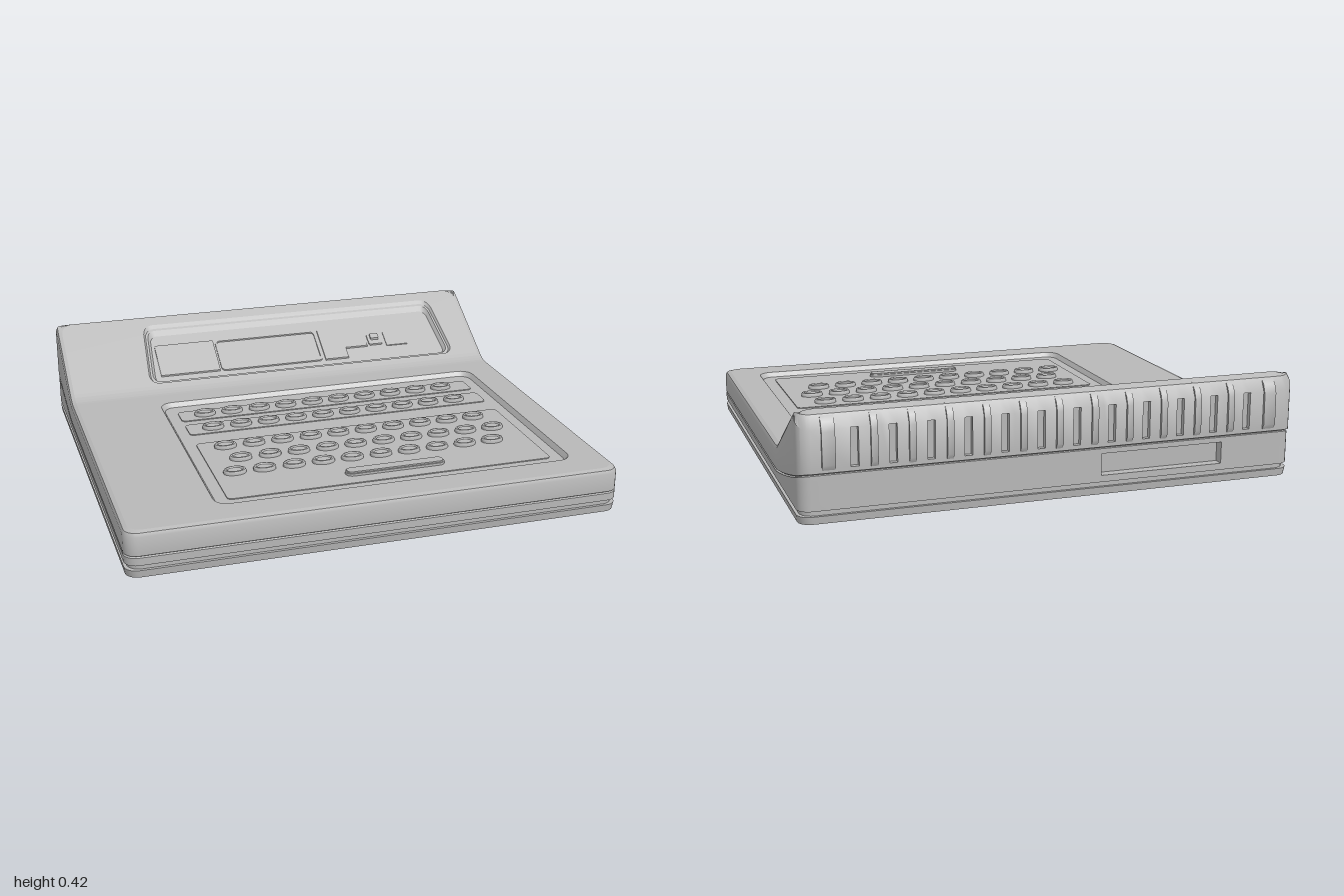
import * as THREE from 'three';
import { toCreasedNormals } from 'three/addons/utils/BufferGeometryUtils.js';

const casing = new THREE.MeshStandardMaterial({ color: 0xb8b8b8, side: THREE.DoubleSide });
casing.name = 'casing grey';

const V = (x, y, z) => new THREE.Vector3(x, y, z);
const clamp = (t) => Math.min(1, Math.max(0, t));
const lerp = THREE.MathUtils.lerp;
const SLOPE = 0.61, PITCH = 0.1435;

// Height of the top face: flat deck, short curve, sloped console
function deck(z) {
  const t = Math.min(-0.42 - z, 0.425);
  if (t <= 0) return 0.185;
  return 0.185 + (t < 0.07 ? (SLOPE * t * t) / 0.14 : SLOPE * (t - 0.035));
}
// Seam between the lower and upper shells, rising towards the back
const seam = (z) => 0.085 + 0.105 * Math.pow(clamp((-0.45 - z) / 0.45), 1.2);
// Drop of the hood edge over the rounded back
const drop = (z) => clamp((-0.84 - z) / 0.06);
const shoulder = (z) => deck(z) - 0.02 - 0.045 * drop(z);

function mesh(name, geo, parent, angle = 0.6) {
  const m = new THREE.Mesh(toCreasedNormals(geo, angle), casing);
  m.name = name;
  parent.add(m);
  return m;
}

// Skin between closed rings of points; skip() leaves openings
function loft(rings, skip = () => false) {
  const pos = [];
  for (let i = 0; i + 1 < rings.length; i++) {
    const n = rings[i].length;
    for (let j = 0; j < n; j++) {
      const k = (j + 1) % n;
      const a = rings[i][j], b = rings[i][k], c = rings[i + 1][k], d = rings[i + 1][j];
      if (skip(i, a, b)) continue;
      for (const p of [a, d, c, a, c, b]) pos.push(p.x, p.y, p.z);
    }
  }
  const g = new THREE.BufferGeometry();
  g.setAttribute('position', new THREE.Float32BufferAttribute(pos, 3));
  g.computeVertexNormals();
  return g;
}
// Collapses a ring to its centre, closing a loft
function closed(ring) {
  const c = V(0, 0, 0);
  ring.forEach((p) => c.add(p));
  c.divideScalar(ring.length);
  return ring.map(() => c);
}

// Rounded rectangle in plan, optionally widening towards the front
function outline(x0, x1, z0, z1, r, inset = 0, taper = 0) {
  const cx = (x0 + x1) / 2, cz = (z0 + z1) / 2, pts = [];
  const hx = (x1 - x0) / 2 - inset, hz = (z1 - z0) / 2 - inset;
  const rr = Math.max(0.002, Math.min(r, hx, hz) - inset * 0.5);
  [[1, 1], [-1, 1], [-1, -1], [1, -1]].forEach(([sx, sz], q) => {
    for (let i = 0; i <= 5; i++) {
      const a = (q + i / 5) * Math.PI / 2;
      const z = sz * (hz - rr) + rr * Math.sin(a);
      const x = sx * (hx - rr) + rr * Math.cos(a);
      pts.push(new THREE.Vector2(cx + x * (1 + taper * z), cz + z));
    }
  });
  return pts;
}
const toShape = (pts) => new THREE.Shape(pts.map((p) => new THREE.Vector2(p.x, -p.y)));

// Lays a flat or extruded shape on the top face, sunk by depth
function lay(geo, depth) {
  const p = geo.attributes.position;
  for (let i = 0; i < p.count; i++) {
    const z = -p.getY(i);
    p.setXYZ(i, p.getX(i), deck(z) - depth + p.getZ(i), z);
  }
  geo.computeVertexNormals();
  return geo;
}
function slab(name, pts, depth, height, parent, hole) {
  const s = toShape(pts);
  if (hole) s.holes.push(toShape(hole));
  return mesh(name, lay(new THREE.ExtrudeGeometry(s, { depth: height, bevelEnabled: false }), depth), parent);
}

// Plan ring of the case at one level
function ring(inset, back, y) {
  const r = 0.05, w = 1 - inset, f = 0.912 - inset, half = [];
  const xs = [0.18, 0.69];
  for (let k = 0; k < 6; k++) xs.push((k + 0.5) * PITCH - 0.015, (k + 0.5) * PITCH + 0.015);
  xs.sort((a, b) => a - b).forEach((x) => half.push([x, -back]));
  const arc = (cz, from) => {
    for (let i = 0; i <= 6; i++) {
      const a = from + (i / 6) * Math.PI / 2;
      half.push([w - r + r * Math.cos(a), cz + r * Math.sin(a)]);
    }
  };
  arc(r - back, -Math.PI / 2);
  for (const z of [-0.78, -0.7, -0.6, -0.55, -0.49, -0.4725, -0.455, -0.4375, -0.42, 0, 0.5]) half.push([w, z]);
  arc(f - r, 0);
  const mirrored = half.slice().reverse().map(([x, z]) => [-x, z]);
  return half.concat(mirrored).map(([x, z]) => V(x, y(z), z));
}

// Sunken pocket in the back wall
function pocket(name, x0, x1, y0, y1, z, depth, parent) {
  const r = (d) => [V(x0, y0, z + d), V(x1, y0, z + d), V(x1, y1, z + d), V(x0, y1, z + d)];
  mesh(name, loft([r(0), r(depth), closed(r(depth))]), parent);
}

export function createModel() {
  const model = new THREE.Group();
  model.name = 'keyboardConsole';

  // Case walls with base groove, shell seam and rounded top edge
  const LB = 0.893, UB = 0.903;
  const lower = (t) => (z) => lerp(0.05, seam(z) - 0.004, t);
  const hoodFoot = (z) => lerp(seam(z) + 0.004, shoulder(z), 0.1);
  const top = ring(0.022, 0.843, deck);
  const base = ring(0.004, LB - 0.004, () => 0);
  const rings = [
    closed(base), base,
    ring(0, LB, () => 0.03), ring(0.012, LB - 0.012, () => 0.03),
    ring(0.012, LB - 0.012, () => 0.05), ring(0, LB, () => 0.05),
    ring(0, LB, lower(0.2)), ring(0, LB, lower(0.85)), ring(0, LB, lower(1)),
    ring(0.006, LB - 0.006, seam), ring(0, UB, (z) => seam(z) + 0.004),
    ring(0, UB, hoodFoot), ring(0, UB, shoulder),
    ring(0.006, 0.878, (z) => deck(z) - 0.006 - 0.012 * drop(z)), top,
  ];
  const slotAt = (x) => Math.abs(Math.abs(x) / PITCH % 1 - 0.5) < 0.09 && Math.abs(x) < 0.82;
  mesh('caseWalls', loft(rings, (i, a, b) => {
    if (a.z > -0.88 || Math.abs(a.z - b.z) > 1e-4) return false;
    const x = (a.x + b.x) / 2;
    return (i === 6 && x > -0.69 && x < -0.18) || (i === 11 && slotAt(x));
  }), model);

  // Top face in bands, with openings for the key well and the display well
  const keyWell = (i) => outline(-0.625, 0.86, -0.32, 0.77, 0.055, i);
  const displayWell = (i) => outline(-0.615, 0.845, -0.8, -0.503, 0.045, i, 0.13);
  const cuts = [0.95, -0.42, -0.4375, -0.455, -0.4725, -0.49, -0.95];
  for (let i = 0; i < 6; i++) {
    const pts = top.filter((p) => p.z <= cuts[i] + 1e-5 && p.z >= cuts[i + 1] - 1e-5);
    const s = toShape(pts.map((p) => new THREE.Vector2(p.x, p.z)));
    if (i === 0) s.holes.push(toShape(keyWell(0)));
    if (i === 5) s.holes.push(toShape(displayWell(0)));
    mesh('topFace', lay(new THREE.ShapeGeometry(s), 0), model);
  }

  // Stepped wells: pairs of inset and depth
  const well = (name, plan, steps) => {
    const rs = steps.map(([i, d]) => plan(i).map((p) => V(p.x, deck(p.y) - d, p.y)));
    mesh(name, loft([...rs, closed(rs[rs.length - 1])]), model, 0.4);
  };
  well('keyWell', keyWell, [[0, 0], [0.006, 0.008], [0.014, 0.02]]);
  well('displayWell', displayWell, [[0, 0], [0.008, 0.012], [0.018, 0.012], [0.03, 0.03]]);

  // Key beds
  for (const [z0, z1] of [[-0.235, -0.125], [-0.08, 0.035], [0.135, 0.7]])
    slab('keyBed', outline(-0.562, 0.797, z0, z1, 0.02), 0.021, 0.005, model);

  // Oval dished keys in five staggered rows
  const profile = [[1, 0], [1, 0.012], [0.92, 0.018], [0.76, 0.019], [0.64, 0.014], [0, 0.012]];
  const keyGeo = new THREE.LatheGeometry(profile.map(([x, y]) => new THREE.Vector2(x, y)), 28);
  keyGeo.scale(0.047, 1, 0.032);
  for (const [z, x0] of [[-0.18, -0.45], [-0.02, -0.45], [0.2, -0.45], [0.335, -0.418], [0.465, -0.476]])
    for (let i = 0; i < 10; i++)
      mesh('key', keyGeo, model, 0.5).position.set(x0 + i * 0.1237, 0.167, z);
  slab('spaceBar', outline(-0.06, 0.362, 0.582, 0.64, 0.029), 0.018, 0.012, model);
  slab('spaceBarTop', outline(-0.06, 0.362, 0.582, 0.64, 0.029, 0.007), 0.018, 0.018, model);

  // Display panel details
  slab('labelPlate', outline(-0.565, -0.285, -0.715, -0.562, 0.004), 0.031, 0.008, model);
  slab('screenFrame', outline(-0.277, 0.217, -0.717, -0.56, 0.018), 0.031, 0.007, model,
    outline(-0.277, 0.217, -0.717, -0.56, 0.018, 0.008));
  const switchPlan = [[0.23, -0.56], [0.345, -0.56], [0.345, -0.61], [0.455, -0.61],
    [0.455, -0.683], [0.345, -0.683], [0.345, -0.718], [0.23, -0.718]];
  slab('switchPlate', switchPlan.map(([x, z]) => new THREE.Vector2(x, z)), 0.031, 0.008, model);
  slab('rockerBase', outline(0.466, 0.534, -0.67, -0.614, 0.008), 0.031, 0.008, model);
  slab('rocker', outline(0.48, 0.52, -0.66, -0.635, 0.004), 0.031, 0.018, model);
  slab('indicator', outline(0.552, 0.658, -0.68, -0.603, 0.003), 0.031, 0.005, model);

  // Rear port and vent slots
  pocket('rearPort', -0.69, -0.18, lower(0.2)(-LB), lower(0.85)(-LB), -LB, 0.04, model);
  for (let k = -6; k < 6; k++) {
    const x = (k + 0.5) * PITCH;
    pocket('ventSlot', x - 0.015, x + 0.015, hoodFoot(-UB), shoulder(-UB), -UB, 0.02, model);
  }

  // Rear ribs following the hood curve
  const rib = new THREE.Shape([[0.842, 0.419], [0.872, 0.412], [0.9, 0.385], [0.913, 0.35], [0.915, 0.225],
    [0.904, 0.205], [0.885, 0.205], [0.87, 0.37]].map(([z, y]) => new THREE.Vector2(z, y)));
  for (let k = -6; k <= 6; k++) {
    const end = Math.abs(k) === 6, w = end ? 0.05 : 0.026;
    const g = new THREE.ExtrudeGeometry(rib, { depth: w, bevelEnabled: false });
    g.rotateY(Math.PI / 2);
    g.rotateY(Math.PI / 2);
    g.rotateY(-Math.PI / 2);
    // Profile runs along -z, thickness along x
    const m = mesh('rearRib', g, model);
    m.position.x = (end ? Math.sign(k) * 0.887 : k * PITCH) - w / 2;
  }
  return model;
}
